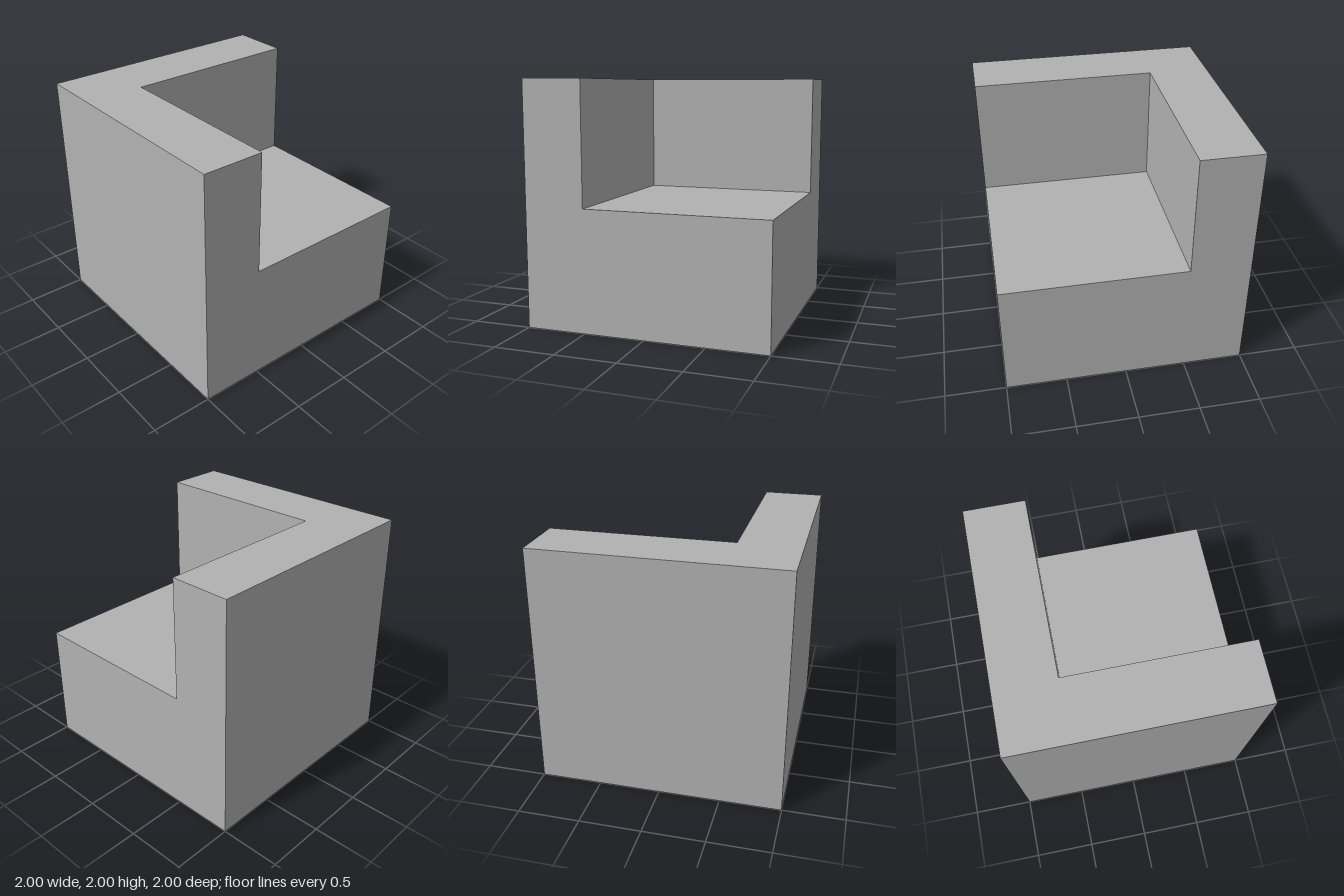
import * as THREE from 'three';

export function createModel() {
  const model = new THREE.Group();
  model.name = 'notchedBlock';
  const grey = new THREE.MeshStandardMaterial({ color: 0xb2b2b2 });
  grey.name = 'grey';

  // Lower half: a full square slab
  const base = new THREE.Mesh(new THREE.BoxGeometry(2, 1, 2), grey);
  base.name = 'base';
  base.position.y = 0.5;
  model.add(base);

  // Upper half: L-shaped wall along the front and the -x side (shape y becomes -z)
  const plan = new THREE.Shape([
    [-1, -1], [1, -1], [1, -0.5], [-0.5, -0.5], [-0.5, 1], [-1, 1],
  ].map(([x, y]) => new THREE.Vector2(x, y)));
  const wallGeometry = new THREE.ExtrudeGeometry(plan, { depth: 1, bevelEnabled: false });
  wallGeometry.rotateX(-Math.PI / 2);
  const wall = new THREE.Mesh(wallGeometry, grey);
  wall.name = 'cornerWall';
  wall.position.y = 1;
  model.add(wall);

  return model;
}
